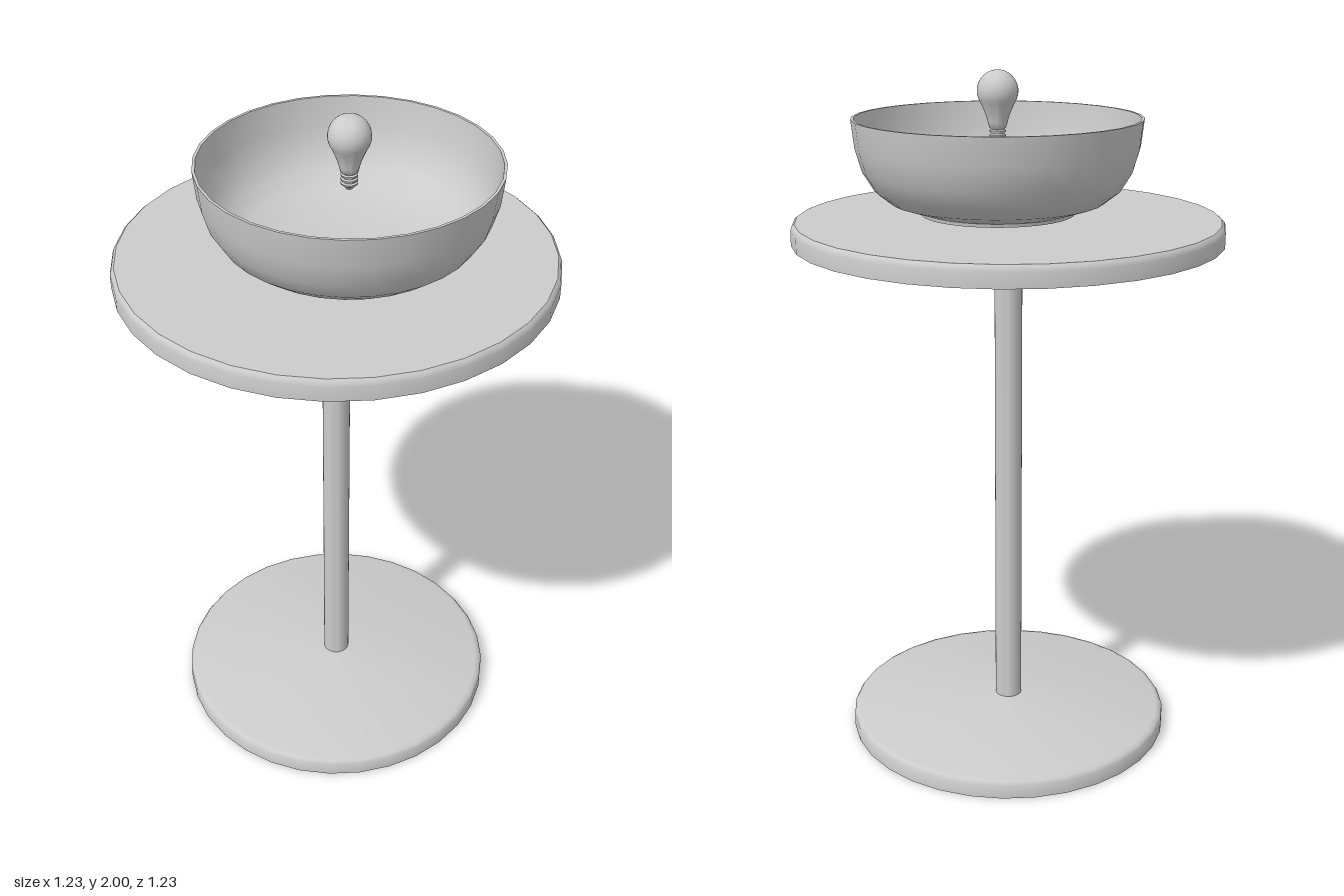
import * as THREE from 'three';
import { toCreasedNormals } from 'three/addons/utils/BufferGeometryUtils.js';

const SEGMENTS = 32;

// Turn a profile of [radius, height] pairs, running up the outside
function turned(name, profile, { crease = 0.7, doubleSide = false } = {}) {
  const points = profile.map(([r, y]) => new THREE.Vector2(r, y));
  const geometry = toCreasedNormals(new THREE.LatheGeometry(points, SEGMENTS), crease);
  const material = new THREE.MeshStandardMaterial({
    color: 0xcccccc,
    side: doubleSide ? THREE.DoubleSide : THREE.FrontSide,
  });
  const mesh = new THREE.Mesh(geometry, material);
  mesh.name = name;
  return mesh;
}

export function createModel() {
  const table = new THREE.Group();
  table.name = 'pedestalTable';

  // Hollow, gently conical foot with an opening for the pole
  table.add(turned('base', [
    [0.485, 0], [0.485, 0.04], [0.478, 0.05], [0.465, 0.054], [0.038, 0.08],
  ], { doubleSide: true }));

  // Open tube between foot and top
  table.add(turned('pole', [[0.04, 0.078], [0.04, 1.53]], { doubleSide: true }));

  // Round top with a small rounded upper edge
  table.add(turned('tableTop', [
    [0, 1.53], [0.615, 1.53], [0.615, 1.572], [0.611, 1.584], [0.604, 1.59], [0, 1.59],
  ]));

  // Bowl and bulb sit slightly off centre
  const centrepiece = new THREE.Group();
  centrepiece.name = 'centrepiece';
  centrepiece.position.set(0.035, 0, 0.017);
  table.add(centrepiece);

  // Thin-walled bowl: foot ring, outer wall, rim, inner wall, floor
  centrepiece.add(turned('bowl', [
    [0, 1.6], [0.22, 1.6], [0.222, 1.61], [0.305, 1.637], [0.35, 1.672], [0.383, 1.725],
    [0.402, 1.79], [0.411, 1.87],
    [0.403, 1.87], [0.394, 1.79], [0.374, 1.727], [0.342, 1.678], [0.29, 1.644],
    [0.2, 1.624], [0, 1.615],
  ]));

  // Bulb: contact tip, threaded cap, neck flaring into a round globe
  const bulbProfile = [[0, 1.79], [0.01, 1.792], [0.013, 1.8]];
  for (let i = 0; i < 3; i++) {
    const y = 1.802 + i * 0.012;
    bulbProfile.push([0.018, y], [0.023, y + 0.004], [0.023, y + 0.008], [0.018, y + 0.011]);
  }
  bulbProfile.push([0.024, 1.842], [0.028, 1.857], [0.033, 1.875], [0.041, 1.894]);
  for (let i = 0; i <= 12; i++) {
    const angle = THREE.MathUtils.lerp(-0.6, Math.PI / 2, i / 12);
    bulbProfile.push([Math.max(0, 0.058 * Math.cos(angle)), 1.942 + 0.058 * Math.sin(angle)]);
  }
  centrepiece.add(turned('bulb', bulbProfile, { crease: 1 }));

  return table;
}
